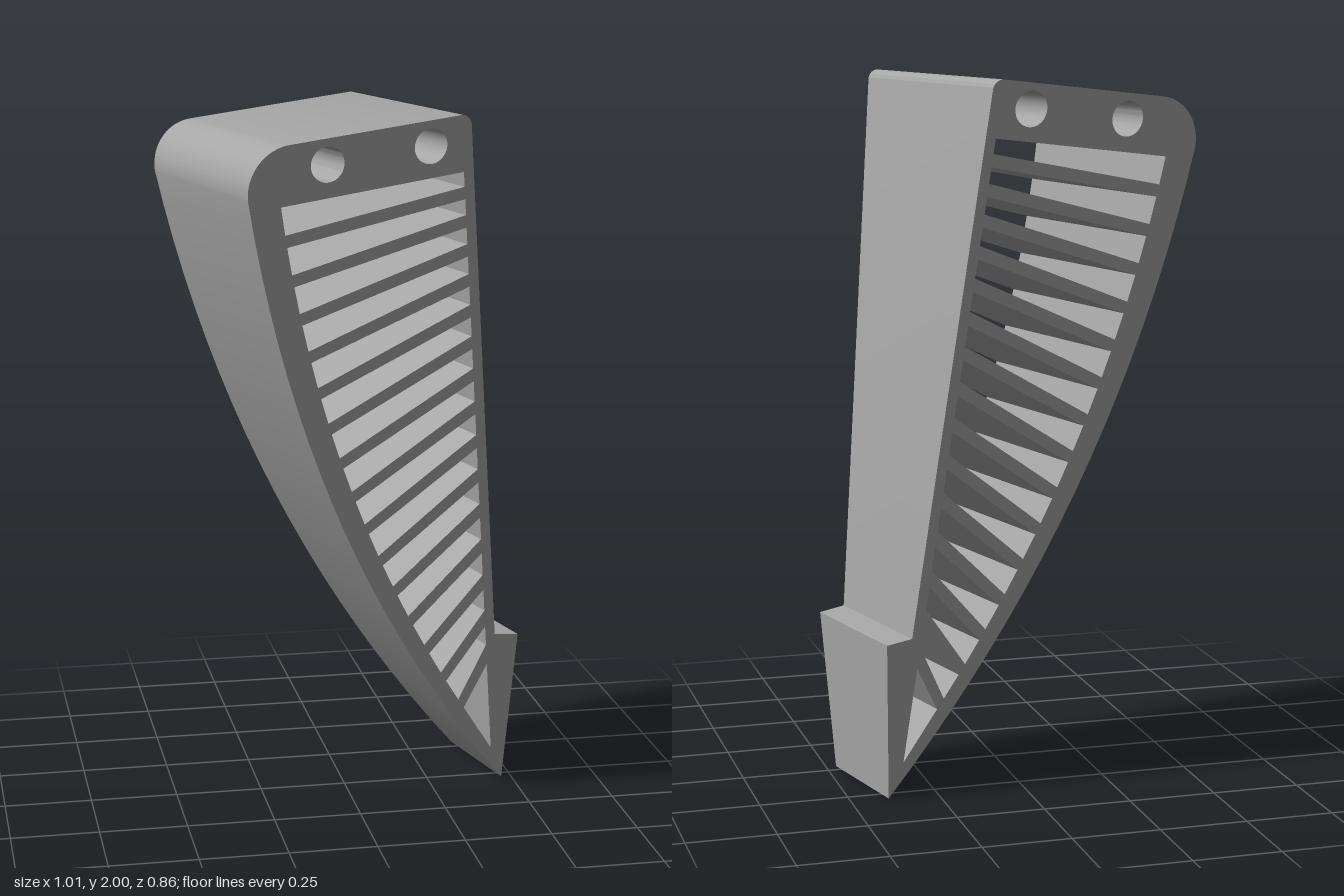
import * as THREE from 'three';
import { toCreasedNormals } from 'three/addons/utils/BufferGeometryUtils.js';

const TOP = 2.015;      // height along the straight back wall
const WALL = 0.03;      // thickness of the straight wall
const SLAT = 0.035;     // thickness of each slat
const SLOTS = 16;

// curved outer edge, from the toe up to the top corner
const corner = new THREE.Vector2(-0.6655, 1.885);
const outer = new THREE.QuadraticBezierCurve(
  new THREE.Vector2(0, 0), new THREE.Vector2(-0.578, 0.859), corner);

// point on the inner side of the curved rim, which thickens upwards
function rim(f) {
  const t = outer.getTangent(f);
  return outer.getPoint(f).add(new THREE.Vector2(t.y, -t.x).multiplyScalar(0.035 + 0.055 * f));
}

// top edge of slot i: its place on the rim and its height on the wall
const rimAt = (i) => 0.98 - 0.843 * i / (SLOTS - 1);
const wallAt = (i) => 1.858 - 0.075 * i - 0.00157 * i * i;

// depth half-width grows with height
const halfDepth = (t) => 0.168 + 0.0994 * t;

function taperedExtrude(shape) {
  const geo = new THREE.ExtrudeGeometry(shape, { depth: 2, bevelEnabled: false, curveSegments: 20 });
  const p = geo.attributes.position;
  for (let i = 0; i < p.count; i++) p.setZ(i, (p.getZ(i) - 1) * halfDepth(p.getY(i)));
  return toCreasedNormals(geo, 0.4);
}

function bodyShape() {
  const s = new THREE.Shape();
  const r = 0.03, R = 0.13;
  s.moveTo(0, 0);
  s.lineTo(0, TOP - r);
  s.absarc(-r, TOP - r, r, 0, Math.PI / 2, false);
  s.lineTo(corner.x + R, TOP);
  s.absarc(corner.x + R, corner.y, R, Math.PI / 2, Math.PI, false);
  s.quadraticCurveTo(-0.578, 0.859, 0, 0);

  // fan of slots, leaving the slats between them
  for (let i = 0; i < SLOTS; i++) {
    const left = rim(rimAt(i));
    const pts = [left, new THREE.Vector2(-WALL, wallAt(i))];
    if (i < SLOTS - 1) {
      const next = rim(rimAt(i + 1));
      const nextWall = wallAt(i + 1);
      const slope = Math.atan2(nextWall - next.y, -WALL - next.x);
      pts.push(new THREE.Vector2(-WALL, nextWall + SLAT / Math.cos(slope)));
      pts.push(rim(rimAt(i + 1) + SLAT / 2.05));
    } else {
      pts.push(new THREE.Vector2(-WALL, 0.105));
    }
    s.holes.push(new THREE.Path(pts));
  }

  // two round holes near the top
  for (const x of [-0.431, -0.125]) {
    const hole = new THREE.Path();
    hole.absarc(x, 1.945, 0.049, 0, Math.PI * 2, true);
    s.holes.push(hole);
  }
  return s;
}

export function createModel() {
  const grey = new THREE.MeshStandardMaterial({ color: 0xa6a6a6 });
  grey.name = 'grey';

  const body = new THREE.Mesh(taperedExtrude(bodyShape()), grey);
  body.name = 'slattedBody';

  // wedge at the foot of the straight wall
  const wedge = new THREE.Mesh(taperedExtrude(new THREE.Shape([
    new THREE.Vector2(0, 0), new THREE.Vector2(0.0752, 0.4494), new THREE.Vector2(0, 0.468),
  ])), grey);
  wedge.name = 'footWedge';

  // lean the part on its toe, then turn it
  const bracket = new THREE.Group();
  bracket.name = 'bracket';
  bracket.add(body, wedge);
  bracket.rotation.z = 0.1132;
  bracket.position.set(0.45, 0, -0.027);

  const model = new THREE.Group();
  model.name = 'model';
  const turned = new THREE.Group();
  turned.name = 'turnedBracket';
  turned.rotation.y = THREE.MathUtils.degToRad(13.4);
  turned.add(bracket);
  model.add(turned);
  return model;
}
